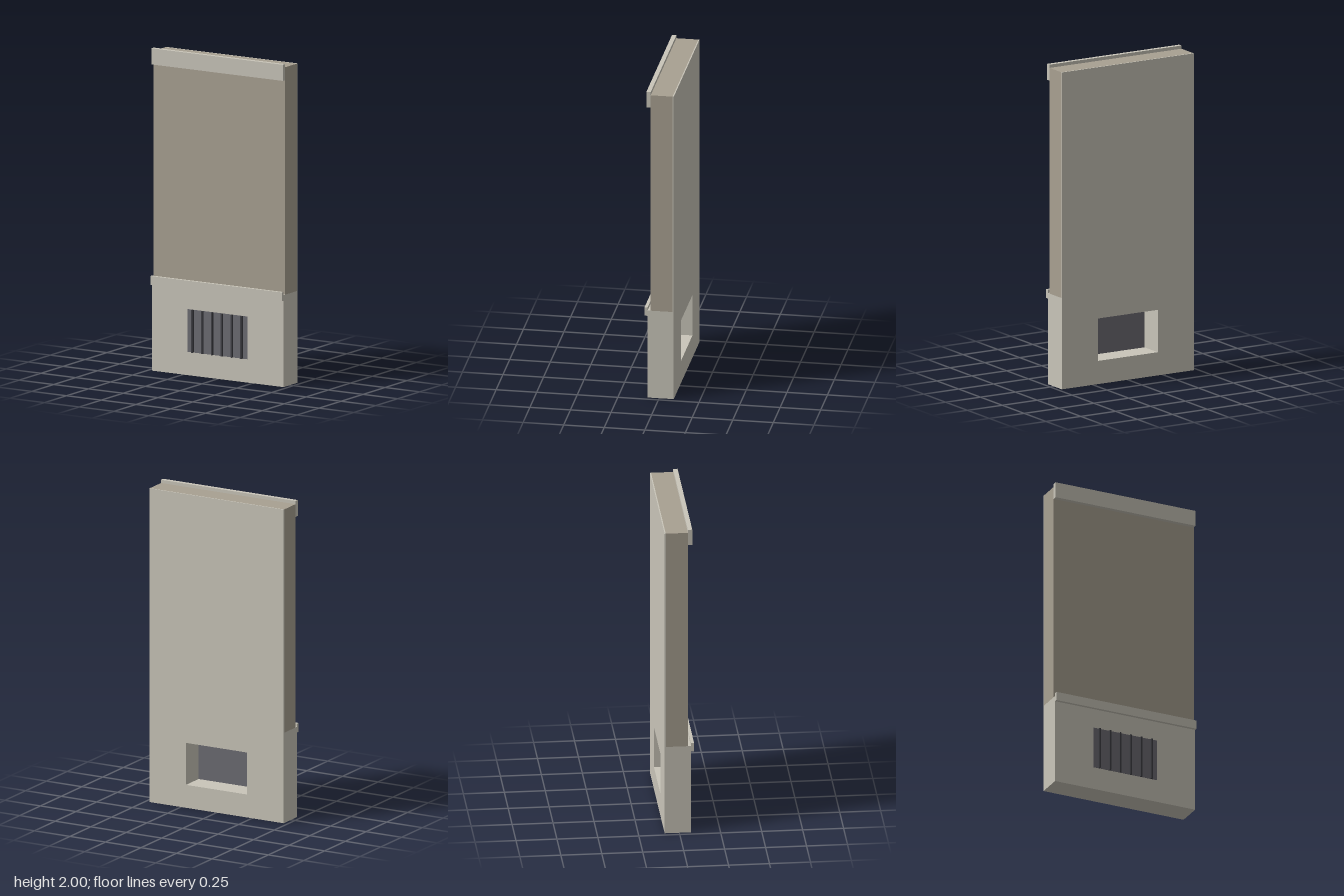
import * as THREE from 'three';

const W = 0.946; // panel width
const HOLE = { x: 0.215, y0: 0.145, y1: 0.41 };

export function createModel() {
  const group = new THREE.Group();
  const stone = new THREE.MeshStandardMaterial({ color: 0xc9c5b9 });
  stone.name = 'pale stone';
  const plaster = new THREE.MeshStandardMaterial({ color: 0xa8a091 });
  plaster.name = 'tan plaster';
  const metal = new THREE.MeshStandardMaterial({ color: 0x6c6b72 });
  metal.name = 'grey metal';
  const dark = new THREE.MeshStandardMaterial({ color: 0x3e3e43 });
  dark.name = 'dark metal';

  const add = (name, geometry, material) => {
    const mesh = new THREE.Mesh(geometry, material);
    mesh.name = name;
    group.add(mesh);
    return mesh;
  };

  // Box given by its x centre, width, and y and z ranges
  const box = (name, x, w, y0, y1, z0, z1, material) =>
    add(name, new THREE.BoxGeometry(w, y1 - y0, z1 - z0), material)
      .position.set(x, (y0 + y1) / 2, (z0 + z1) / 2);

  // Upright slab with the vent opening cut through it
  const slab = (name, height, z0, z1, material) => {
    const h = W / 2;
    const shape = new THREE.Shape([
      new THREE.Vector2(-h, 0), new THREE.Vector2(h, 0),
      new THREE.Vector2(h, height), new THREE.Vector2(-h, height),
    ]);
    shape.holes.push(new THREE.Path([
      new THREE.Vector2(-HOLE.x, HOLE.y0), new THREE.Vector2(-HOLE.x, HOLE.y1),
      new THREE.Vector2(HOLE.x, HOLE.y1), new THREE.Vector2(HOLE.x, HOLE.y0),
    ]));
    const geo = new THREE.ExtrudeGeometry(shape, { depth: z1 - z0, bevelEnabled: false });
    add(name, geo, material).position.z = z0;
  };

  // Wall: base and backing with the opening, plaster field above
  slab('backPlate', 1.98, -0.09, -0.083, stone);
  slab('base', 0.57, -0.083, 0.071, stone);
  box('upperWall', 0, W, 0.57, 1.98, -0.083, 0.052, plaster);

  // Horizontal mouldings
  box('topTrim', 0, W, 1.9, 2, 0.052, 0.079, stone);
  box('middleRail', 0, W, 0.535, 0.59, 0.071, 0.09, stone);

  // Vent: panel closing the opening, with upright fins
  box('ventPanel', 0, HOLE.x * 2, HOLE.y0, HOLE.y1, 0.062, 0.073, metal);
  for (let i = 0; i < 6; i++) {
    box('ventFin', (i - 2.5) * 0.0705, 0.01, HOLE.y0, HOLE.y1, 0.073, 0.086, dark);
  }
  return group;
}
